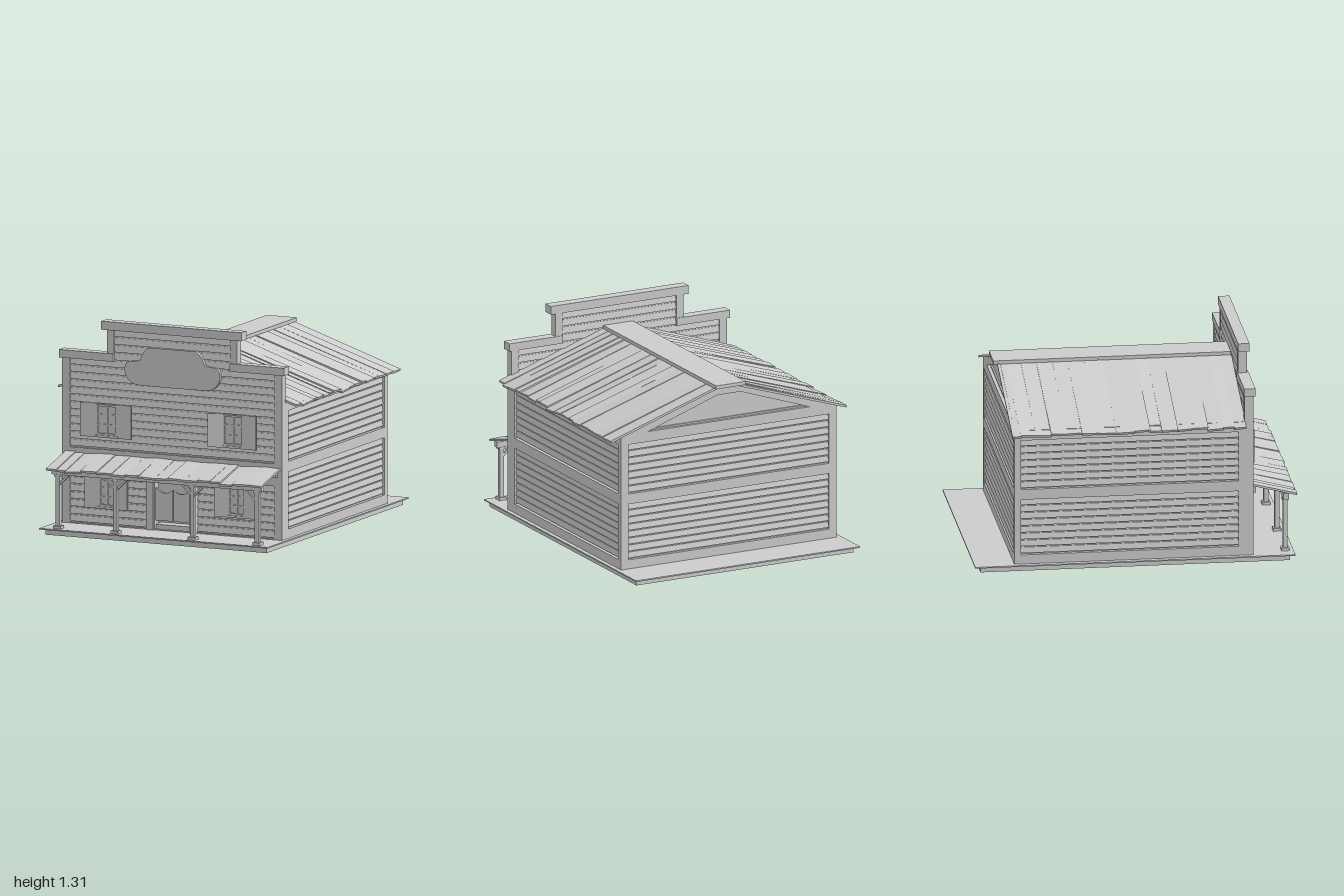
import * as THREE from 'three';

export function createModel() {
  const model = new THREE.Group();
  const mat = new THREE.MeshStandardMaterial({ color: 0xcccccc, flatShading: true });
  const XC = -0.0175; // centre line of the building
  let seed = 7;
  const rnd = () => (seed = (seed * 16807) % 2147483647) / 2147483647;
  const jit = (a) => (rnd() - 0.5) * 2 * a;

  const add = (parent, name, geo) => {
    const m = new THREE.Mesh(geo, mat);
    m.name = name;
    parent.add(m);
    return m;
  };
  const group = (name, parent = model) => {
    const g = new THREE.Group();
    g.name = name;
    parent.add(g);
    return g;
  };
  // box given by its limits
  const box = (p, name, x0, x1, y0, y1, z0, z1) => {
    const m = add(p, name, new THREE.BoxGeometry(x1 - x0, y1 - y0, z1 - z0));
    m.position.set((x0 + x1) / 2, (y0 + y1) / 2, (z0 + z1) / 2);
    return m;
  };
  const poly = (pts) => new THREE.Shape(pts.map(([x, y]) => new THREE.Vector2(x, y)));
  const rect = (x0, x1, y0, y1) => [[x0, y0], [x1, y0], [x1, y1], [x0, y1]];
  const plate = (p, name, shape, holes, z0, z1) => {
    shape.holes = holes.map(poly);
    const m = add(p, name, new THREE.ExtrudeGeometry(shape, { depth: z1 - z0, bevelEnabled: false, curveSegments: 8 }));
    m.position.z = z0;
    return m;
  };
  // clapboards facing +z, with a shadow groove under each board
  const siding = (p, name, x0, x1, y0, y1, z) => {
    const n = Math.max(1, Math.round((y1 - y0) / 0.047)), h = (y1 - y0) / n;
    const pts = [[-0.02, y1], [-0.02, y0]];
    for (let i = 0; i < n; i++) {
      const y = y0 + i * h;
      pts.push([0, y], [0, y + 0.009], [0.015, y + 0.009], [0.008, y + h]);
    }
    const g = new THREE.ExtrudeGeometry(poly(pts), { depth: x1 - x0, bevelEnabled: false });
    g.rotateY(-Math.PI / 2);
    g.translate(x1, 0, z);
    return add(p, name, g);
  };

  // base and deck
  box(model, 'foundation', -0.77, 0.735, 0, 0.036, -0.965, 0.945);
  box(model, 'deck', -0.797, 0.757, 0.034, 0.042, -1, 0.975);

  // building body
  const body = group('body');
  body.position.x = XC;
  plate(body, 'core', poly([[-0.715, 0.04], [0.715, 0.04], [0.715, 0.89], [0.1, 1.1], [-0.1, 1.1], [-0.715, 0.89]]), [], -0.725, 0.62);

  // side walls
  for (const s of [1, -1]) {
    const side = group(s > 0 ? 'leftWall' : 'rightWall', body);
    side.position.z = -0.0425;
    side.rotation.y = s * Math.PI / 2;
    plate(side, 'wallFrame', poly(rect(-0.7125, 0.7125, 0.04, 0.9)),
      [rect(-0.67, 0.67, 0.1, 0.455), rect(-0.67, 0.67, 0.52, 0.835)], 0.71, 0.7475);
    siding(side, 'lowerSiding', -0.68, 0.68, 0.1, 0.455, 0.724);
    siding(side, 'upperSiding', -0.68, 0.68, 0.52, 0.835, 0.724);
  }

  // back wall with gable
  const back = group('backWall', body);
  back.rotation.y = Math.PI;
  plate(back, 'gableFrame',
    poly([[-0.7475, 0.04], [0.7475, 0.04], [0.7475, 0.9], [0.1, 1.115], [-0.1, 1.115], [-0.7475, 0.9]]),
    [rect(-0.695, 0.695, 0.1, 0.455), rect(-0.695, 0.695, 0.52, 0.835),
      [[-0.56, 0.9], [0.56, 0.9], [0.08, 1.065], [-0.08, 1.065]]], 0.72, 0.755);
  siding(back, 'lowerSiding', -0.7, 0.7, 0.1, 0.455, 0.733);
  siding(back, 'upperSiding', -0.7, 0.7, 0.52, 0.835, 0.733);
  box(back, 'gablePanel', -0.58, 0.58, 0.89, 0.91, 0.715, 0.735);

  // false front
  const front = group('falseFront', body);
  plate(front, 'frontFrame',
    poly([[-0.7475, 0.04], [0.7475, 0.04], [0.7475, 1.08], [0.443, 1.08], [0.443, 1.28],
      [-0.443, 1.28], [-0.443, 1.08], [-0.7475, 1.08]]),
    [rect(-0.695, -0.165, 0.05, 0.375), rect(0.165, 0.695, 0.05, 0.375), rect(-0.12, 0.125, 0.045, 0.365),
      [[-0.695, 0.515], [0.695, 0.515], [0.695, 1.066], [0.395, 1.066], [0.395, 1.262],
        [-0.395, 1.262], [-0.395, 1.066], [-0.695, 1.066]]], 0.665, 0.72);
  for (const s of [1, -1]) {
    const face = group(s > 0 ? 'frontSiding' : 'rearSiding', front);
    face.rotation.y = s > 0 ? 0 : Math.PI;
    const z = s > 0 ? 0.7 : -0.685;
    siding(face, 'wideSiding', -0.7, 0.7, 0.515, 1.066, z);
    siding(face, 'topSiding', -0.4, 0.4, 1.066, 1.262, z);
    if (s > 0) for (const x of [-0.7, 0.16]) siding(face, 'lowerSiding', x, x + 0.54, 0.045, 0.375, z);
    const x0 = s > 0 ? 0.395 : -0.765;
    box(front, 'lowerCornice', x0, x0 + 0.37, 1.066, 1.115, 0.66, 0.73);
  }
  box(front, 'topCornice', -0.477, 0.477, 1.26, 1.313, 0.66, 0.73);

  // blank sign board
  const sign = new THREE.Shape();
  sign.moveTo(-0.24, 0.935);
  sign.quadraticCurveTo(0, 0.93, 0.24, 0.935);
  sign.bezierCurveTo(0.3, 0.945, 0.325, 0.99, 0.325, 1.03);
  sign.bezierCurveTo(0.32, 1.1, 0.27, 1.07, 0.22, 1.09);
  sign.quadraticCurveTo(0.2, 1.15, 0.16, 1.172);
  sign.lineTo(-0.16, 1.172);
  sign.quadraticCurveTo(-0.2, 1.15, -0.22, 1.09);
  sign.bezierCurveTo(-0.27, 1.07, -0.32, 1.1, -0.325, 1.03);
  sign.bezierCurveTo(-0.325, 0.99, -0.3, 0.945, -0.24, 0.935);
  plate(model, 'signBoard', sign, [], 0.71, 0.732).position.x = -0.01;

  // windows: [x, centre y, width, height, shutter width, left swing, right swing]
  for (const [x, y, w, h, sw, a, b] of [
    [-0.46, 0.7, 0.14, 0.19, 0.105, 0.1, 0.1], [0.4, 0.7, 0.14, 0.19, 0.095, 0.32, 0.15],
    [-0.455, 0.25, 0.115, 0.175, 0.09, 0.1, 0.15], [0.425, 0.262, 0.115, 0.175, 0.09, 0.15, 0.1]]) {
    const win = group('window');
    win.position.set(x, y, 0.71);
    const W = w / 2, H = h / 2;
    plate(win, 'windowFrame', poly(rect(-W, W, -H, H)), [rect(-W + 0.012, W - 0.012, -H + 0.012, H - 0.012)], 0, 0.018);
    box(win, 'pane', -W + 0.005, W - 0.005, -H + 0.005, H - 0.005, -0.01, 0.007);
    box(win, 'verticalBar', -0.005, 0.005, -H + 0.01, H - 0.01, 0, 0.014);
    for (const t of [-1, 1]) box(win, 'crossBar', -W + 0.01, W - 0.01, t * h / 6 - 0.004, t * h / 6 + 0.004, 0, 0.014);
    box(win, 'sill', -W - 0.01, W + 0.01, -H - 0.014, -H, 0, 0.026);
    for (const s of [-1, 1]) {
      const hinge = group('shutter', win);
      hinge.position.set(s * W, -0.005, 0.012);
      hinge.rotation.y = -s * (s < 0 ? a : b);
      box(hinge, 'shutterPanel', s < 0 ? -sw : 0, s < 0 ? 0 : sw, -H - 0.008, H + 0.012, 0, 0.01);
    }
  }

  // doorway with swing doors
  const door = group('doorway', body);
  for (const s of [-1, 1]) {
    box(door, 'doorPost', s * 0.147 - 0.024, s * 0.147 + 0.024, 0.04, 0.37, 0.66, 0.735);
    const leaf = new THREE.Shape();
    leaf.moveTo(s * 0.122, 0.1);
    leaf.lineTo(s * 0.003, 0.1);
    leaf.lineTo(s * 0.003, 0.295);
    leaf.quadraticCurveTo(s * 0.055, 0.245, s * 0.122, 0.305);
    plate(door, 'swingDoor', leaf, [], 0.69, 0.705);
  }
  box(door, 'doorHeader', -0.17, 0.17, 0.36, 0.385, 0.66, 0.73);
  box(door, 'threshold', -0.122, 0.122, 0.04, 0.075, 0.62, 0.7);

  // main roof: uneven planks running from ridge to eave
  const roof = group('roof');
  for (const s of [-1, 1]) {
    for (let z = -0.77; z < 0.66;) {
      const w = Math.min(0.05 + rnd() * 0.06, 0.685 - z);
      const len = 0.795 + jit(0.01);
      const pivot = group('roofPlank', roof);
      pivot.position.set(s * 0.06 - 0.002, 1.128, z + w / 2);
      pivot.rotation.z = -s * (0.315 + jit(0.006));
      const b = box(pivot, 'plank', 0, len, -0.014, 0, -w / 2 - 0.003, w / 2 + 0.003);
      b.position.x *= s;
      b.rotation.x = jit(0.1);
      z += w;
    }
  }
  box(roof, 'ridgeCap', -0.11, 0.095, 1.118, 1.14, -0.8, 0.665);

  // porch roof planks
  const porch = group('porch');
  for (let x = -0.74; x < 0.7;) {
    const w = Math.min(0.06 + rnd() * 0.05, 0.722 - x);
    const pivot = group('porchPlank', porch);
    pivot.position.set(x + w / 2, 0.488 + jit(0.004), 0.715);
    pivot.rotation.x = 0.245 + jit(0.012);
    const b = box(pivot, 'plank', -w / 2 - 0.003, w / 2 + 0.003, -0.013, 0, 0, 0.284 + jit(0.007));
    b.rotation.z = jit(0.06);
    x += w;
  }
  box(porch, 'porchBeam', -0.73, 0.7, 0.378, 0.415, 0.908, 0.942);
  box(porch, 'wallBeam', -0.73, 0.7, 0.43, 0.47, 0.715, 0.74);

  // porch posts with feet and diagonal braces
  for (const x of [-0.69, -0.298, 0.225, 0.665]) {
    const post = group('porchPost', porch);
    post.position.set(x, 0, 0.924);
    box(post, 'shaft', -0.014, 0.014, 0.04, 0.385, -0.014, 0.014);
    box(post, 'foot', -0.025, 0.025, 0.04, 0.06, -0.025, 0.025);
    box(post, 'cap', -0.02, 0.02, 0.365, 0.38, -0.02, 0.02);
    for (const s of [-1, 1]) {
      if (s * x > 0.6) continue;
      const brace = box(post, 'brace', -0.045, 0.045, -0.007, 0.007, -0.008, 0.008);
      brace.position.set(s * 0.037, 0.345, 0);
      brace.rotation.z = s * Math.PI / 4;
    }
  }
  return model;
}
